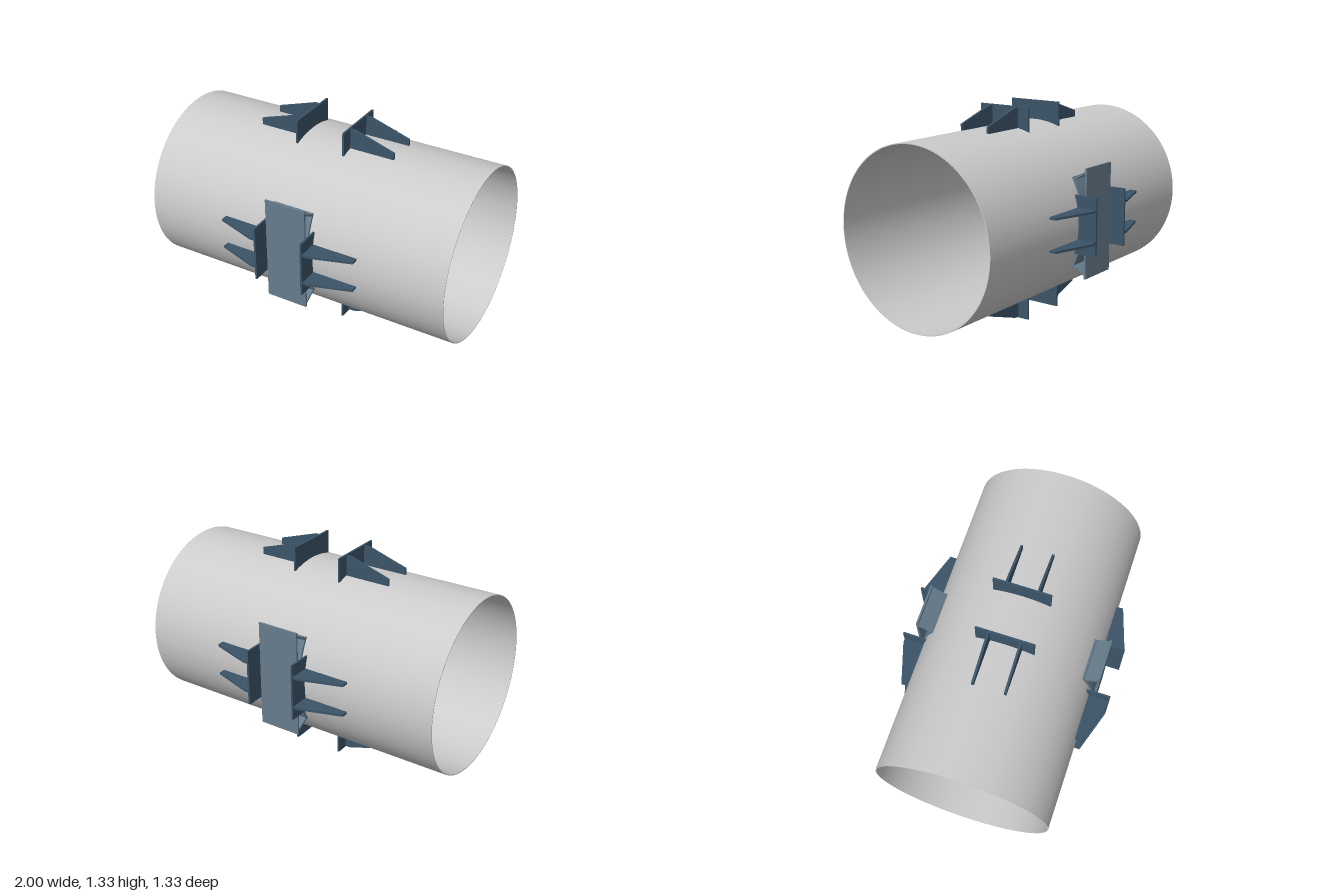
import * as THREE from 'three';
import { toCreasedNormals } from 'three/addons/utils/BufferGeometryUtils.js';

const R = 0.543;          // pipe outer radius
const OUT = 0.6625;       // outer reach of the brackets, also the axis height
const pipeMat = new THREE.MeshStandardMaterial({ color: 0xcccccc });
const darkMat = new THREE.MeshStandardMaterial({ color: 0x3b5468 });
const lightMat = new THREE.MeshStandardMaterial({ color: 0x667c8c });

function addMesh(parent, name, geometry, material) {
  const mesh = new THREE.Mesh(geometry, material);
  mesh.name = name;
  parent.add(mesh);
  return mesh;
}

// Extrude a shape, centred on its own thickness
function slab(shape, depth) {
  const g = new THREE.ExtrudeGeometry(shape, { depth, bevelEnabled: false, curveSegments: 32 });
  g.translate(0, 0, -depth / 2);
  return toCreasedNormals(g, 0.5);
}

// Pipe wall as a closed profile turned round the x axis
function pipeGeometry() {
  const r = R - 0.005;
  const profile = [[R, -1], [R, 1], [r, 1], [r, -1], [R, -1]].map(p => new THREE.Vector2(...p));
  return toCreasedNormals(new THREE.LatheGeometry(profile, 96), 0.5).rotateZ(Math.PI / 2);
}

// Stop plate with its inner edge cut to the pipe
function stopPlateGeometry() {
  const w = 0.178, a = Math.asin(w / R);
  const s = new THREE.Shape();
  s.moveTo(w, R * Math.cos(a));
  s.lineTo(w, OUT);
  s.lineTo(-w, OUT);
  s.lineTo(-w, R * Math.cos(a));
  s.absarc(0, 0, R, Math.PI / 2 + a, Math.PI / 2 - a, true);
  return slab(s, 0.012).rotateY(Math.PI / 2);
}

// Tapered gusset, running along the pipe from the stop plate
function gussetGeometry() {
  const base = 0.532;
  const s = new THREE.Shape([[0.16, base], [0.45, base], [0.45, 0.575], [0.195, 0.657], [0.16, 0.657]]
    .map(p => new THREE.Vector2(...p)));
  return slab(s, 0.014);
}

// Curved pad lying on the pipe
function padGeometry() {
  const a = Math.PI / 6, mid = Math.PI / 2;
  const s = new THREE.Shape();
  s.absarc(0, 0, R + 0.013, mid - a, mid + a, false);
  s.absarc(0, 0, R, mid + a, mid - a, true);
  return slab(s, 0.266).rotateY(Math.PI / 2);
}

export function createModel() {
  const model = new THREE.Group();
  const body = new THREE.Group();
  body.name = 'pipeSupport';
  body.position.y = OUT;
  model.add(body);
  addMesh(body, 'pipe', pipeGeometry(), pipeMat);

  const plate = stopPlateGeometry(), gusset = gussetGeometry(), pad = padGeometry();
  const strutLength = 0.09, strutAngle = 0.5;
  const strut = new THREE.BoxGeometry(0.266, strutLength, 0.012);
  const facePlate = new THREE.BoxGeometry(0.266, 0.012, 0.67);

  for (let k = 0; k < 4; k++) {
    // Each station is built pointing up, then turned round the pipe
    const station = new THREE.Group();
    station.name = ['top', 'front', 'bottom', 'back'][k] + 'Station';
    station.rotation.x = k * Math.PI / 2;
    body.add(station);

    // A pair of stops, the second turned to face the other way
    for (const turn of [0, Math.PI]) {
      const stop = new THREE.Group();
      stop.name = turn ? 'rightStop' : 'leftStop';
      stop.rotation.y = turn;
      station.add(stop);
      addMesh(stop, 'stopPlate', plate, darkMat).position.x = 0.158;
      for (const z of [-0.097, 0.097]) addMesh(stop, 'gusset', gusset, darkMat).position.z = z;
    }

    // Bearing saddles sit between the stops at front and back only
    if (k % 2 === 1) {
      const saddle = new THREE.Group();
      saddle.name = 'bearingSaddle';
      station.add(saddle);
      addMesh(saddle, 'curvedPad', pad, lightMat);
      addMesh(saddle, 'facePlate', facePlate, lightMat).position.y = 0.569;
      for (const side of [-1, 1]) {
        const m = addMesh(saddle, 'strut', strut, lightMat);
        const r = 0.553 + strutLength / 2;
        m.position.set(0, r * Math.cos(strutAngle), side * r * Math.sin(strutAngle));
        m.rotation.x = side * strutAngle;
      }
    }
  }
  return model;
}
